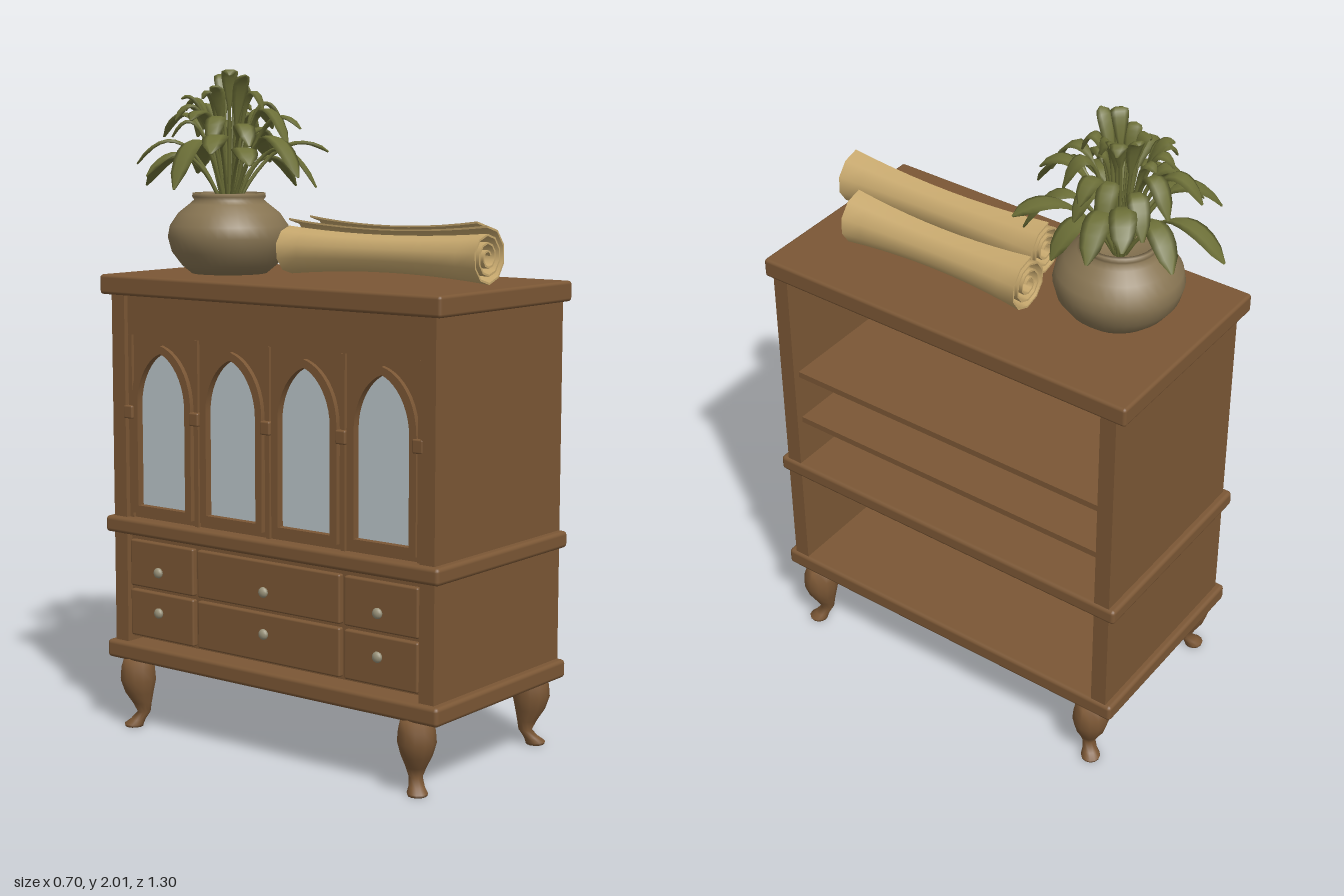
import * as THREE from 'three';
import { toCreasedNormals } from 'three/addons/utils/BufferGeometryUtils.js';
import { RoundedBoxGeometry } from 'three/addons/geometries/RoundedBoxGeometry.js';

const mat = (name, color, side = THREE.FrontSide) => {
  const m = new THREE.MeshStandardMaterial({ color, side });
  m.name = name;
  return m;
};

// Skin over a list of rings (equal point counts), capped at both ends
function loft(rings) {
  const n = rings[0].length, pos = [], idx = [];
  rings.forEach(r => r.forEach(p => pos.push(p.x, p.y, p.z)));
  for (let i = 0; i < rings.length - 1; i++) for (let j = 0; j < n; j++) {
    const a = i * n + j, b = i * n + (j + 1) % n;
    idx.push(a, b, a + n, b, b + n, a + n);
  }
  const last = (rings.length - 1) * n;
  for (let j = 1; j < n - 1; j++) idx.push(0, j + 1, j, last, last + j, last + j + 1);
  // Turn the faces outward when the signed volume is negative
  const v = k => new THREE.Vector3().fromArray(pos, k * 3);
  let vol = 0;
  for (let k = 0; k < idx.length; k += 3) vol += v(idx[k]).dot(v(idx[k + 1]).cross(v(idx[k + 2])));
  if (vol < 0) idx.reverse();
  const g = new THREE.BufferGeometry();
  g.setAttribute('position', new THREE.Float32BufferAttribute(pos, 3));
  g.setIndex(idx);
  g.computeVertexNormals();
  return g;
}

export function createModel() {
  const group = new THREE.Group();
  const wood = mat('wood', 0x7b5735), glass = mat('glass', 0xbcc6cb, THREE.DoubleSide);
  const metal = mat('knob metal', 0x99927a), clay = mat('clay', 0x877452, THREE.DoubleSide);
  const leaf = mat('leaf green', 0x6c6f37), paper = mat('paper', 0xc8a96e, THREE.DoubleSide);

  const add = (name, geo, m, x = 0, y = 0, z = 0) => {
    const mesh = new THREE.Mesh(geo, m);
    mesh.name = name;
    mesh.position.set(x, y, z);
    group.add(mesh);
    return mesh;
  };
  // Box given by its limits on each axis
  const box = (name, x0, x1, y0, y1, z0, z1, m = wood, round = 0) => {
    const d = [x1 - x0, y1 - y0, z1 - z0];
    const g = round ? new RoundedBoxGeometry(...d, 2, round) : new THREE.BoxGeometry(...d);
    return add(name, g, m, (x0 + x1) / 2, (y0 + y1) / 2, (z0 + z1) / 2);
  };
  // Shape drawn in (z, y), extruded toward -x from x
  const plate = (name, shape, x, depth, m, z = 0) => {
    const g = new THREE.ExtrudeGeometry(shape, { depth, bevelEnabled: false, curveSegments: 10 });
    g.rotateY(-Math.PI / 2);
    return add(name, toCreasedNormals(g, 0.6), m, x, 0, z);
  };

  // Carcass
  box('topSlab', -0.34, 0.33, 1.34, 1.4, -0.605, 0.652, wood, 0.01);
  box('middleSlab', -0.34, 0.33, 0.61, 0.66, -0.595, 0.65, wood, 0.012);
  box('baseSlab', -0.34, 0.33, 0.215, 0.27, -0.595, 0.65, wood, 0.012);
  for (const [z0, z1] of [[0.575, 0.625], [-0.573, -0.522]]) {
    box('upperSidePanel', -0.32, 0.322, 0.655, 1.345, z0, z1);
    box('lowerSidePanel', -0.32, 0.322, 0.265, 0.615, z0, z1);
  }
  for (const y of [0.993, 0.82]) box('shelf', -0.275, 0.3, y - 0.01, y + 0.01, -0.522, 0.575);

  // Arched window outline, grown by d
  const arch = (C, d, z = 0) => {
    const s = new C(), w = 0.095 + d, b = 0.7 - d, t = 1.17 + d;
    s.moveTo(z - w, b);
    s.lineTo(z + w, b);
    s.lineTo(z + w, 1.01);
    s.bezierCurveTo(z + w, 1.09 + d, z + w * 0.5, t - 0.015, z, t);
    s.bezierCurveTo(z - w * 0.5, t - 0.015, z - w, 1.09 + d, z - w, 1.01);
    s.closePath();
    return s;
  };

  // Four glazed doors
  const doorW = 0.274;
  for (let i = 0; i < 4; i++) {
    const z = 0.0265 + (i - 1.5) * doorW, h = doorW / 2 - 0.0015;
    const panel = new THREE.Shape();
    panel.moveTo(-h, 0.66);
    panel.lineTo(h, 0.66);
    panel.lineTo(h, 1.22);
    panel.lineTo(-h, 1.22);
    panel.closePath();
    panel.holes.push(arch(THREE.Path, 0));
    plate('doorPanel', panel, -0.278, 0.02, wood, z);
    const trim = arch(THREE.Shape, 0.024);
    trim.holes.push(arch(THREE.Path, 0));
    plate('archMoulding', trim, -0.297, 0.016, wood, z);
    plate('windowPane', arch(THREE.Shape, 0.004), -0.284, 0.006, glass, z);
  }
  for (let i = 0; i < 5; i++) {
    const z = THREE.MathUtils.clamp(0.0265 + (i - 2) * doorW, -0.512, 0.565);
    box('doorPost', -0.308, -0.282, 0.66, 1.22, z - 0.007, z + 0.007);
    box('postCapital', -0.322, -0.29, 0.965, 1.005, z - 0.018, z + 0.018, wood, 0.005);
  }
  box('doorHeader', -0.305, -0.275, 1.22, 1.342, -0.522, 0.575);

  // Drawers, three columns by two rows
  box('drawerBacking', -0.298, -0.275, 0.285, 0.612, -0.522, 0.575);
  for (const [z0, z1] of [[-0.522, -0.25], [-0.25, 0.303], [0.303, 0.575]]) {
    for (const y of [0.365, 0.52]) {
      const zc = (z0 + z1) / 2;
      box('drawerFront', -0.316, -0.294, y - 0.072, y + 0.072, z0 + 0.008, z1 - 0.008, wood, 0.006);
      const ky = y < 0.4 ? 0.38 : 0.505;
      const knob = add('knob', new THREE.SphereGeometry(0.016, 12, 8), metal, -0.33, ky, zc);
      knob.scale.x = 0.7;
    }
  }

  // Cabriole legs: height, outward shift, radius
  const legProfile = [[0.22, 0, 0.045], [0.185, 0.002, 0.053], [0.15, 0.002, 0.056], [0.11, 0, 0.045],
    [0.075, -0.006, 0.03], [0.045, -0.01, 0.02], [0.022, 0.003, 0.023], [0.008, 0.012, 0.03], [0, 0.012, 0.028]];
  for (const sx of [-1, 1]) for (const sz of [-1, 1]) {
    const rings = legProfile.map(([y, o, r]) => Array.from({ length: 12 }, (_, k) => {
      const a = k * Math.PI / 6;
      return new THREE.Vector3(sx * o + r * Math.cos(a), y, sz * o + r * Math.sin(a));
    }));
    add('leg', loft(rings), wood, sx * 0.293, 0, sz > 0 ? 0.55 : -0.505);
  }

  // Rolled sheets, waisted in the middle
  const roll = (x, z0, z1) => {
    const outer = [], inner = [], turns = 3.2, steps = 32;
    for (let i = 0; i <= steps; i++) {
      const a = i / steps * turns * Math.PI * 2 + 0.4, r = 0.016 + 0.072 * i / steps;
      outer.push(new THREE.Vector2(r * Math.cos(a), r * Math.sin(a)));
      inner.unshift(new THREE.Vector2((r - 0.006) * Math.cos(a), (r - 0.006) * Math.sin(a)));
    }
    const g = new THREE.ExtrudeGeometry(new THREE.Shape([...outer, ...inner]),
      { depth: z1 - z0, steps: 10, bevelEnabled: false });
    const p = g.attributes.position;
    for (let i = 0; i < p.count; i++) {
      const u = 2 * p.getZ(i) / (z1 - z0) - 1, s = 0.76 + 0.24 * u * u;
      p.setXY(i, p.getX(i) * s, p.getY(i) * s);
    }
    add('paperRoll', toCreasedNormals(g, 0.9), paper, x, 1.488, z0);
  };
  roll(-0.08, -0.07, 0.63);
  roll(0.094, -0.13, 0.48);

  // Pot
  const px = -0.05, pz = -0.335;
  const profile = [[0, 1.4], [0.115, 1.4], [0.145, 1.425], [0.175, 1.465], [0.187, 1.51], [0.18, 1.545],
    [0.155, 1.582], [0.12, 1.61], [0.106, 1.622], [0.112, 1.632], [0.11, 1.643], [0.098, 1.643], [0.095, 1.6], [0, 1.59]];
  add('pot', new THREE.LatheGeometry(profile.map(p => new THREE.Vector2(...p)), 36), clay, px, 0, pz);

  // Spoon-shaped leaf arching to reach r, with peak control height and tip height
  const makeLeaf = (a, r, peak, tip, width) => {
    const curve = new THREE.QuadraticBezierCurve(new THREE.Vector2(0.015, 1.59),
      new THREE.Vector2(r * 0.5, peak), new THREE.Vector2(r, tip));
    const dir = new THREE.Vector3(Math.cos(a), 0, Math.sin(a)), side = new THREE.Vector3(-dir.z, 0, dir.x);
    const rings = [];
    for (let i = 0; i <= 12; i++) {
      const t = i / 12, p = curve.getPoint(t), d = curve.getTangent(t);
      const b = Math.max(0, (t - 0.45) / 0.55);
      const w = 0.005 + (b > 0 ? width * Math.sqrt(Math.sin(Math.PI * Math.pow(b, 1.15))) || 0 : 0);
      const h = t === 1 ? 0.003 : 0.006;
      rings.push(Array.from({ length: 6 }, (_, k) => {
        const c = Math.cos(k * Math.PI / 3) * w, s = Math.sin(k * Math.PI / 3) * h;
        return dir.clone().multiplyScalar(p.x - d.y * s).addScaledVector(side, c)
          .setY(p.y + d.x * s);
      }));
    }
    add('leaf', loft(rings), leaf, px, 0, pz);
  };
  // Outer leaves by tip offset in x and z
  const tips = [[-0.03, -0.312], [0.14, -0.25], [0.28, -0.07], [0.24, 0.195], [0.13, 0.235], [-0.05, 0.31], [-0.15, 0.21],
    [-0.275, 0.17], [-0.27, 0.02], [-0.235, -0.12], [-0.18, -0.21], [0.225, -0.145], [0.225, 0.08]];
  tips.forEach(([x, z], i) =>
    makeLeaf(Math.atan2(z, x), Math.hypot(x, z), 1.87 + (i % 3) * 0.05, 1.66 + (i % 4) * 0.035, 0.033));
  // Middle and inner whorls
  for (let i = 0; i < 14; i++)
    makeLeaf(i * 2.4 + 0.3, 0.17 + (i % 4) * 0.02, 1.97 + (i % 3) * 0.05, 1.76 + (i % 5) * 0.025, 0.026);
  for (let i = 0; i < 13; i++)
    makeLeaf(i * 2.4 + 1.1, 0.07 + (i % 5) * 0.018, 1.98 + (i % 3) * 0.05, 1.89 + (i % 4) * 0.034, 0.02);

  return group;
}
